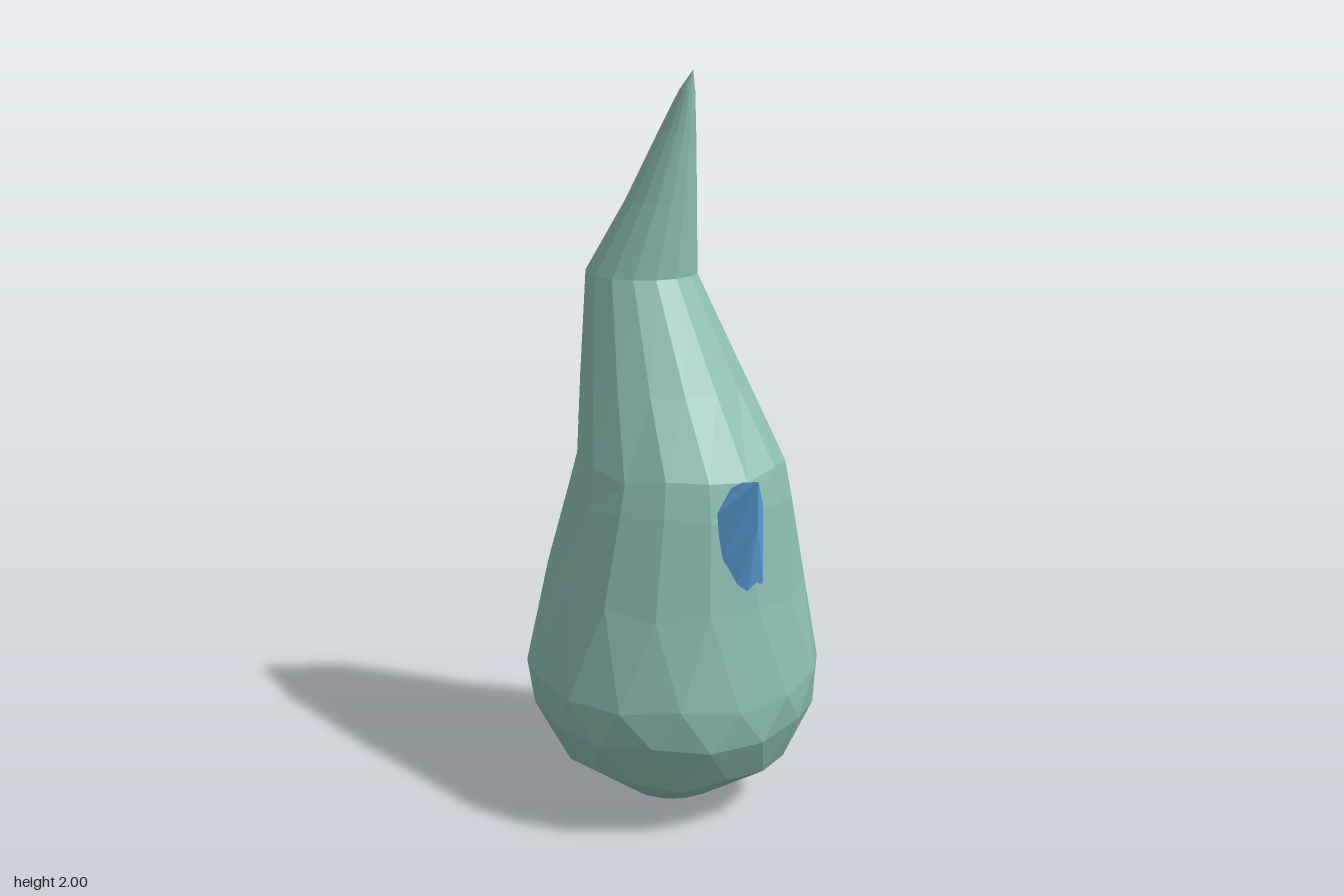
import * as THREE from 'three';
import { ConvexGeometry } from 'three/addons/geometries/ConvexGeometry.js';

const bodyMat = new THREE.MeshStandardMaterial({ color: 0x8cbdb2, flatShading: true });
bodyMat.name = 'sage skin';
const finMat = new THREE.MeshStandardMaterial({ color: 0x5b9fd8, flatShading: true });
finMat.name = 'blue fin';

// Faceted skin through rings of [y, xMin, xMax, zMin, zMax], closed by a point at each end
function loft(rings, bottom, top, sides) {
  const pos = [...bottom], index = [];
  rings.forEach(([y, x0, x1, z0, z1], r) => {
    for (let i = 0; i < sides; i++) {
      // alternate rings of the rounded base are turned half a step
      const a = ((i + (r < 4 && r % 2 ? 0.5 : 0)) / sides) * Math.PI * 2;
      const wave = r > 0 && r < 7 ? 0.012 * Math.sin(i * 2.4 + r * 1.7) : 0;
      pos.push((x0 + x1) / 2 + Math.cos(a) * (x1 - x0) / 2, y + wave, (z0 + z1) / 2 + Math.sin(a) * (z1 - z0) / 2);
    }
  });
  pos.push(...top);
  const at = (r, i) => 1 + r * sides + (i % sides), last = pos.length / 3 - 1;
  for (let i = 0; i < sides; i++) {
    index.push(0, at(0, i), at(0, i + 1));
    for (let r = 0; r < rings.length - 1; r++) {
      const a = at(r, i), b = at(r, i + 1), c = at(r + 1, i), d = at(r + 1, i + 1);
      if (r < 4 && r % 2) index.push(a, c, d, a, d, b);
      else index.push(a, c, b, b, c, d);
    }
    index.push(at(rings.length - 1, i), last, at(rings.length - 1, i + 1));
  }
  const g = new THREE.BufferGeometry();
  g.setAttribute('position', new THREE.Float32BufferAttribute(pos, 3));
  g.setIndex(index);
  const flat = g.toNonIndexed();
  flat.computeVertexNormals();
  return flat;
}

function add(group, name, geometry, material) {
  const mesh = new THREE.Mesh(geometry, material);
  mesh.name = name;
  group.add(mesh);
}

const hull = (points) => new ConvexGeometry(points.map((p) => new THREE.Vector3(...p)));

export function createModel() {
  const model = new THREE.Group();
  model.name = 'pearCreature';

  // Round base rising into a bent, pointed top
  add(model, 'body', loft([
    [0.03, -0.14, 0.14, -0.14, 0.14],
    [0.16, -0.33, 0.33, -0.32, 0.31],
    [0.3, -0.4, 0.4, -0.39, 0.39],
    [0.41, -0.412, 0.41, -0.407, 0.405],
    [0.66, -0.35, 0.375, -0.35, 0.355],
    [0.91, -0.28, 0.345, -0.295, 0.3],
    [1.0, -0.25, 0.325, -0.275, 0.28],
    [1.2, -0.25, 0.21, -0.21, 0.24],
    [1.48, -0.25, 0.065, -0.11, 0.18],
    [1.67, -0.13, 0.07, -0.075, 0.105],
    [1.85, -0.03, 0.077, -0.042, 0.045],
    [1.95, 0.035, 0.08, -0.022, 0.016],
  ], [0.01, 0, 0], [0.08, 2, -0.005], 16), bodyMat);

  // Side fins: a pointed outer ridge, wide against the body
  add(model, 'leftFin', hull([
    [0.405, 1.02, 0.035], [0.36, 1.01, 0.05], [0.33, 0.99, 0.06], [0.325, 0.93, 0.1],
    [0.37, 0.95, -0.01], [0.4, 0.9, 0.03], [0.365, 0.73, -0.02], [0.36, 0.7, 0.03],
    [0.335, 0.8, 0.095], [0.35, 0.72, 0.06],
  ]), finMat);
  add(model, 'rightFin', hull([
    [-0.405, 1.02, 0.04], [-0.36, 1.01, 0.02], [-0.27, 0.9, 0.05], [-0.28, 0.91, -0.03],
    [-0.39, 0.9, 0.045], [-0.31, 0.88, -0.08], [-0.3, 0.86, 0.11], [-0.35, 0.66, 0.03],
    [-0.31, 0.7, -0.04], [-0.31, 0.71, 0.08],
  ]), finMat);
  // Small stub joining the larger fin to the neck
  add(model, 'rightFinStub', hull([
    [-0.29, 0.86, 0.05], [-0.29, 0.91, 0.05], [-0.29, 0.89, -0.02],
    [-0.22, 0.92, 0.06], [-0.22, 0.9, 0], [-0.22, 0.88, 0.04],
  ]), bodyMat);

  return model;
}
